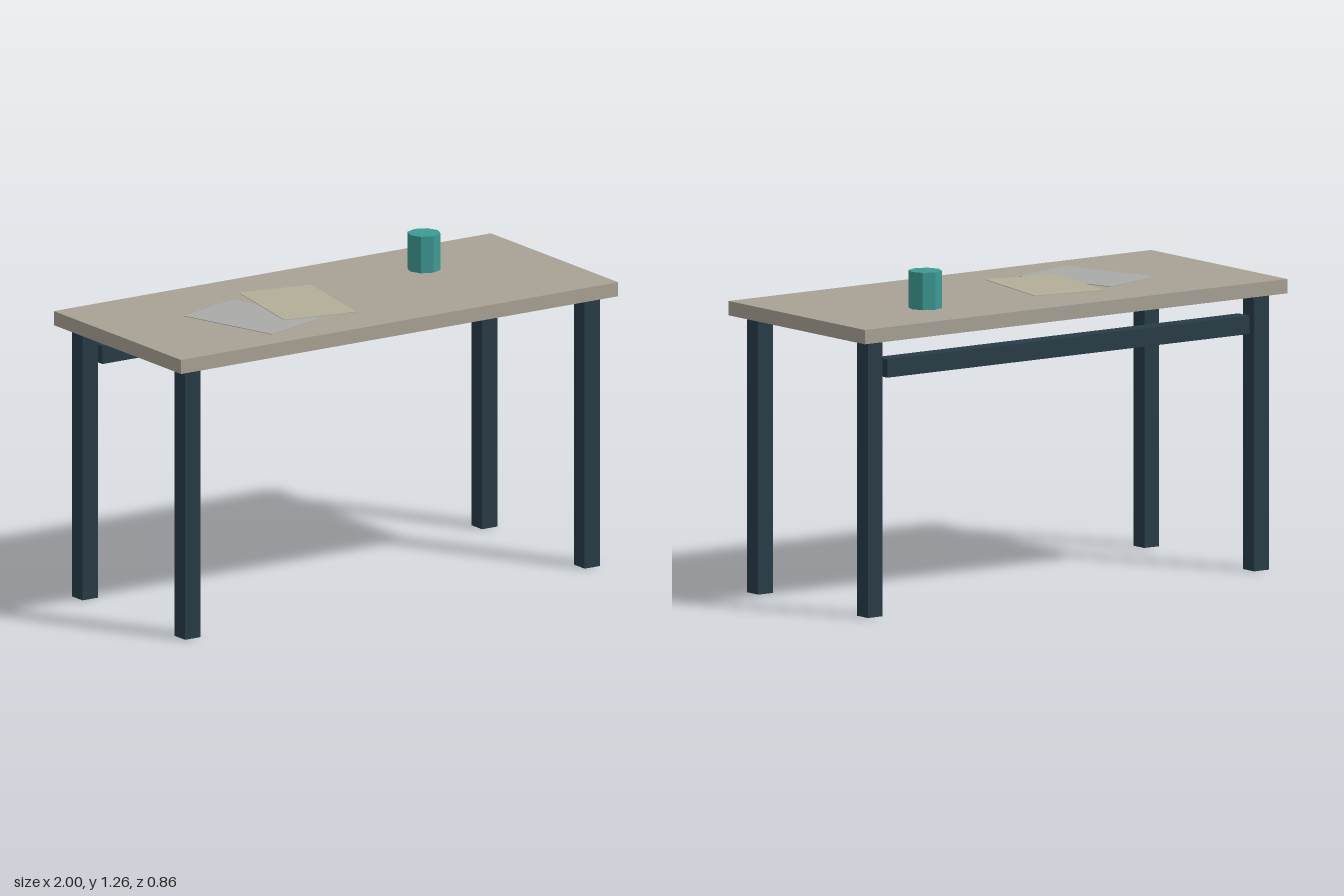
import * as THREE from 'three';

const material = (color) => new THREE.MeshStandardMaterial({ color, flatShading: true });

export function createModel() {
  const desk = new THREE.Group();
  desk.name = 'desk';

  const topMat = material(0xa8a194);
  const frameMat = material(0x283c47);

  const add = (name, geometry, mat, x, y, z, turn = 0) => {
    const mesh = new THREE.Mesh(geometry, mat);
    mesh.name = name;
    mesh.position.set(x, y, z);
    mesh.rotation.y = turn;
    desk.add(mesh);
  };

  const legHeight = 1.06, legSize = 0.07, topThickness = 0.055;
  const surface = legHeight + topThickness;

  // Tabletop
  add('tabletop', new THREE.BoxGeometry(2, topThickness, 0.856), topMat, 0, legHeight + topThickness / 2, 0);

  // Four square legs
  for (const [side, sx] of [['Left', 1], ['Right', -1]]) {
    for (const [end, sz] of [['front', 1], ['back', -1]]) {
      add(`${end}${side}Leg`, new THREE.BoxGeometry(legSize, legHeight, legSize), frameMat,
        sx * 0.914, legHeight / 2, sz * 0.345);
    }
  }

  // Rail between the back legs
  add('backRail', new THREE.BoxGeometry(1.714, 0.07, 0.07), frameMat, 0, 0.947, -0.345);

  // Two loose sheets of paper, one overlapping the other
  const sheet = new THREE.BoxGeometry(0.297, 0.002, 0.428);
  add('lowerSheet', sheet, material(0xa9a9a8), -0.43, surface + 0.001, 0.07, 0.3);
  add('upperSheet', sheet, material(0xb2ae98), -0.173, surface + 0.003, -0.003, -0.19);

  // Eight-sided cup
  const cupHeight = 0.143;
  add('cup', new THREE.CylinderGeometry(0.064, 0.064, cupHeight, 8), material(0x3d9a95),
    0.5, surface + cupHeight / 2, -0.143);

  return desk;
}
